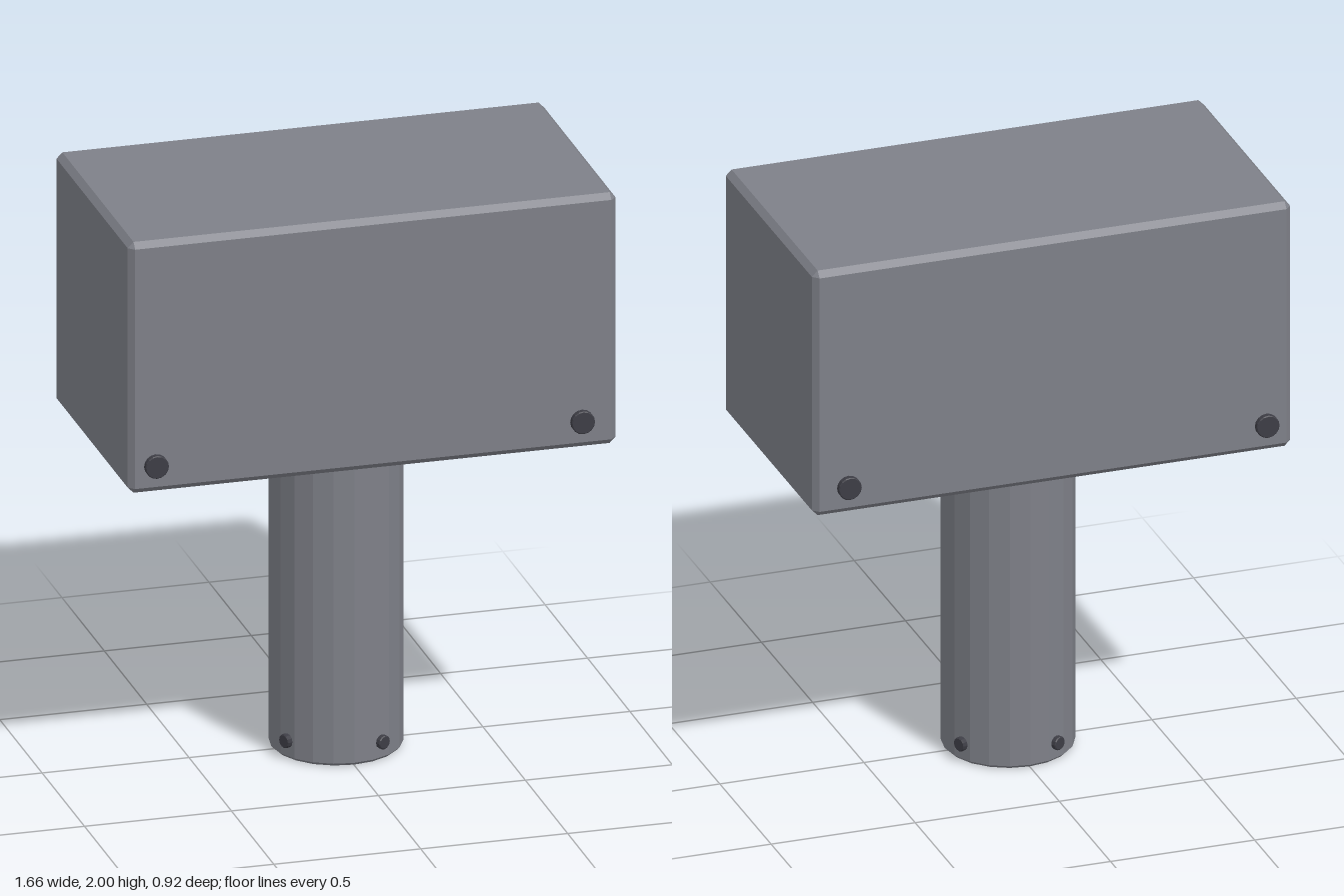
import * as THREE from 'three';
import { ConvexGeometry } from 'three/addons/geometries/ConvexGeometry.js';

const steel = new THREE.MeshStandardMaterial({ color: 0x7e8088 });
steel.name = 'steel grey';
const dark = new THREE.MeshStandardMaterial({ color: 0x3d3d45 });
dark.name = 'dark grey';

// Box with flat chamfers on every edge, from half sizes
function chamferBox(hx, hy, hz, c) {
  const points = [];
  for (const sx of [-1, 1]) for (const sy of [-1, 1]) for (const sz of [-1, 1]) {
    points.push(
      new THREE.Vector3(sx * hx, sy * (hy - c), sz * (hz - c)),
      new THREE.Vector3(sx * (hx - c), sy * hy, sz * (hz - c)),
      new THREE.Vector3(sx * (hx - c), sy * (hy - c), sz * hz));
  }
  return new ConvexGeometry(points);
}

// Faceted upright cylinder with chamfered rims
function chamferCylinder(radius, y0, y1, c, sides) {
  const profile = [[0, y0], [radius - c, y0], [radius, y0 + c],
    [radius, y1 - c], [radius - c, y1], [0, y1]].map(([x, y]) => new THREE.Vector2(x, y));
  const geometry = new THREE.LatheGeometry(profile, sides).toNonIndexed();
  geometry.computeVertexNormals();
  return geometry;
}

export function createModel() {
  const model = new THREE.Group();
  model.name = 'mallet';
  const add = (name, geometry, material) => {
    const mesh = new THREE.Mesh(geometry, material);
    mesh.name = name;
    model.add(mesh);
    return mesh;
  };

  // Head block
  add('head', chamferBox(0.83, 0.44, 0.44, 0.02), steel).position.y = 1.56;

  // Handle and the collar joining it to the head
  add('handle', chamferCylinder(0.22, 0, 1.13, 0.01, 20), steel);
  add('collar', chamferCylinder(0.24, 1.07, 1.13, 0.01, 20), dark);

  // Bolts through the lower corners of the head, front and back
  const bolt = chamferCylinder(0.04, -0.03, 0.03, 0.003, 16).rotateX(Math.PI / 2);
  for (const x of [-0.74, 0.71]) for (const side of [-1, 1]) {
    add('headBolt', bolt, dark).position.set(x, 1.215, side * 0.43);
  }

  // Four pins around the foot of the handle
  const pin = chamferCylinder(0.024, 0.19, 0.235, 0.003, 12).rotateX(Math.PI / 2);
  for (let i = 0; i < 4; i++) {
    const mesh = add('handlePin', pin, dark);
    mesh.position.y = 0.065;
    mesh.rotation.y = THREE.MathUtils.degToRad(27 + 90 * i);
  }
  return model;
}
